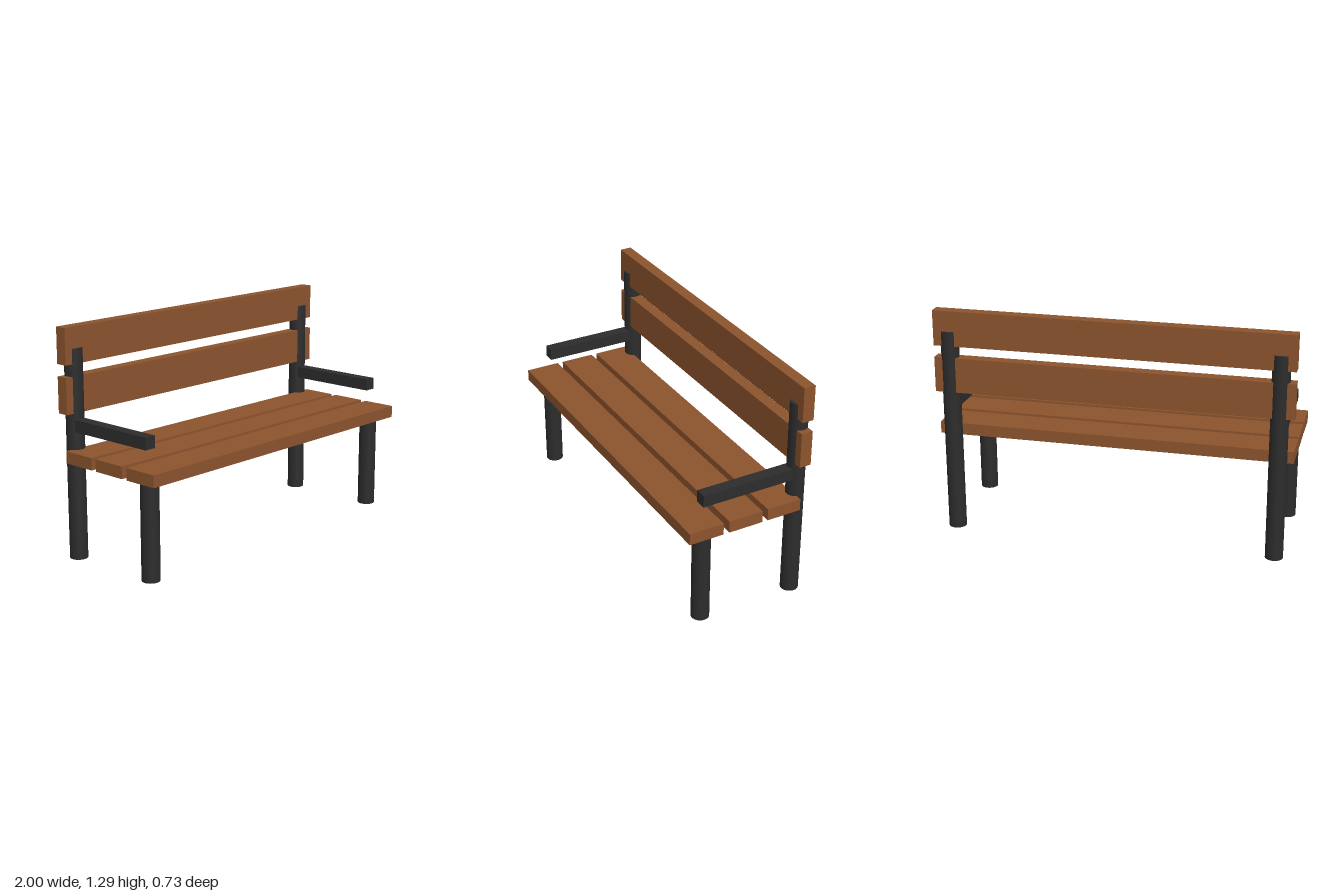
import * as THREE from 'three';

export function createModel() {
  const bench = new THREE.Group();
  bench.name = 'bench';

  const wood = new THREE.MeshStandardMaterial({ color: 0x8b532d });
  wood.name = 'brown wood';
  const iron = new THREE.MeshStandardMaterial({ color: 0x2c2c2c });
  iron.name = 'dark iron';

  const add = (name, geometry, material, x, y, z) => {
    const mesh = new THREE.Mesh(geometry, material);
    mesh.name = name;
    mesh.position.set(x, y, z);
    bench.add(mesh);
  };

  // Upright round post from y0 to y1
  const post = (name, x, z, y0, y1) =>
    add(name, new THREE.CylinderGeometry(0.05, 0.05, y1 - y0, 32), iron, x, (y0 + y1) / 2, z);

  // Three seat slats with narrow gaps
  for (const z of [0.267, 0.033, -0.2]) {
    add('seatSlat', new THREE.BoxGeometry(2, 0.067, 0.2), wood, 0, 0.587, z);
  }

  // Two backrest slats
  for (const y of [0.92, 1.187]) {
    add('backSlat', new THREE.BoxGeometry(2, 0.2, 0.067), wood, 0, y, -0.317);
  }

  // Legs, tall back posts and armrests, mirrored
  for (const [side, x] of [['left', 0.917], ['right', -0.917]]) {
    post(side + 'FrontLeg', x, 0.25, 0.01, 0.57);
    post(side + 'BackPost', x, -0.317, 0, 1.17);
    add(side + 'Armrest', new THREE.BoxGeometry(0.067, 0.067, 0.54), iron, x, 0.753, -0.01);
  }

  return bench;
}
